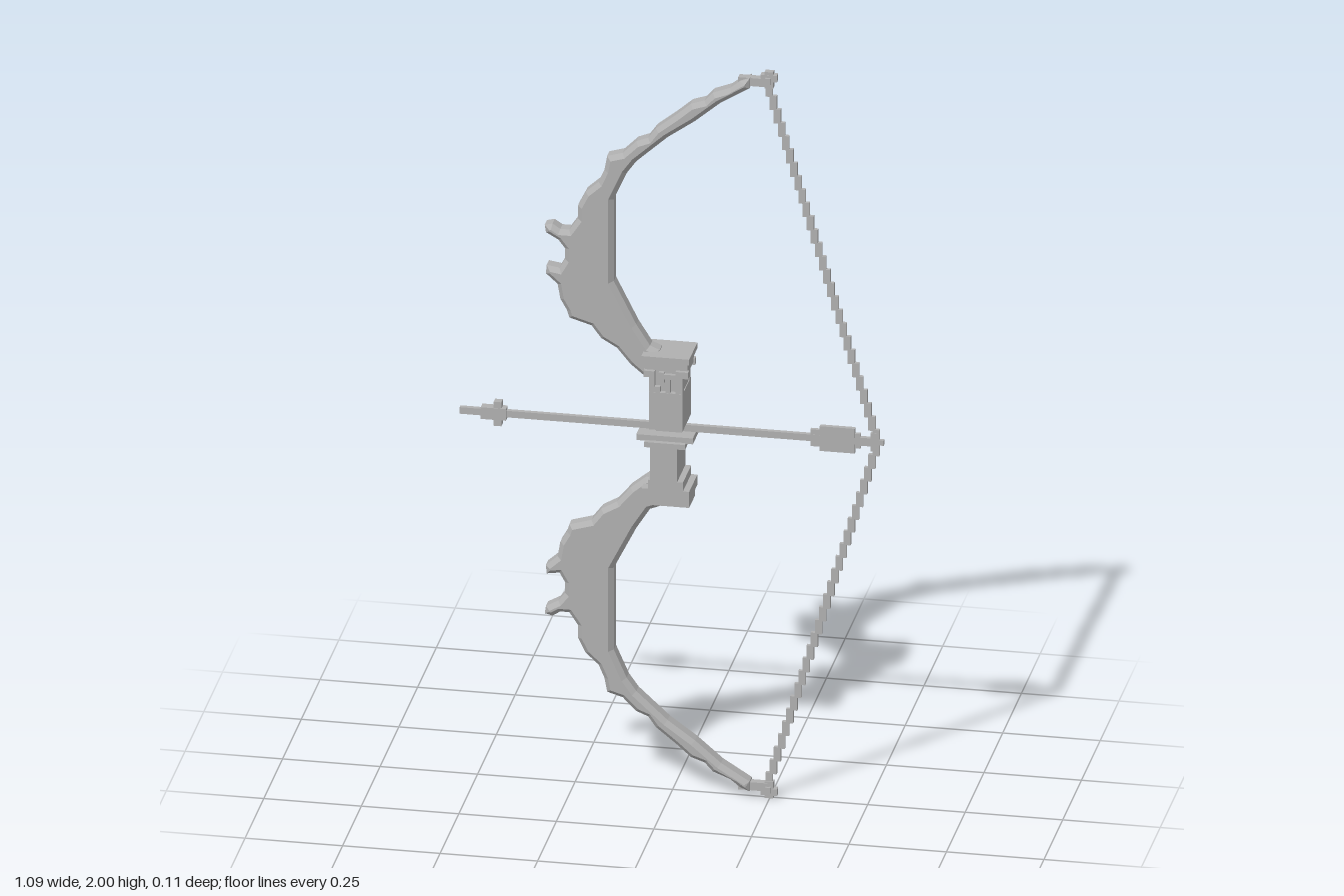
import * as THREE from 'three';

const grey = new THREE.MeshStandardMaterial({ color: 0xb0b0b0 });
grey.name = 'stone grey';

function add(parent, name, geometry) {
  const mesh = new THREE.Mesh(geometry, grey);
  mesh.name = name;
  parent.add(mesh);
  return mesh;
}

// Box given by its x and y limits and its half depth, centred on z = z0
function block(parent, name, x0, x1, y0, y1, halfZ, z0 = 0) {
  const mesh = add(parent, name, new THREE.BoxGeometry(x1 - x0, Math.abs(y1 - y0), halfZ * 2));
  mesh.position.set((x0 + x1) / 2, (y0 + y1) / 2, z0);
  return mesh;
}

// Outline of the upper limb: jagged outer edge from tip to root, then the inner curve back
const limbOutline = [
  [0.2, 1.982], [0.175, 1.972], [0.15, 1.952], [0.106, 1.935], [0.085, 1.912], [0.05, 1.9],
  [0.01, 1.865], [-0.04, 1.825], [-0.06, 1.797], [-0.09, 1.785], [-0.125, 1.75], [-0.165, 1.738],
  [-0.172, 1.7], [-0.187, 1.665], [-0.22, 1.635], [-0.24, 1.595], [-0.24, 1.56], [-0.262, 1.527],
  [-0.285, 1.527], [-0.305, 1.54], [-0.325, 1.535], [-0.322, 1.515], [-0.29, 1.497], [-0.273, 1.475],
  [-0.273, 1.445], [-0.287, 1.42], [-0.32, 1.425], [-0.322, 1.402], [-0.292, 1.375], [-0.285, 1.335],
  [-0.268, 1.305], [-0.262, 1.285], [-0.205, 1.268], [-0.18, 1.235], [-0.14, 1.212], [-0.105, 1.17],
  [-0.065, 1.137], [-0.03, 1.14], [-0.03, 1.215], [-0.055, 1.225], [-0.09, 1.28], [-0.148, 1.395],
  [-0.148, 1.62], [-0.115, 1.695], [-0.09, 1.73], [-0.01, 1.803], [0.06, 1.853], [0.127, 1.91],
  [0.2, 1.955],
];

// One limb with its tip and half of the string; side is 1 for upper, -1 for lower
function addLimb(bow, side) {
  const label = side > 0 ? 'upper' : 'lower';
  const limb = new THREE.Group();
  limb.name = label + 'Limb';
  bow.add(limb);
  const Y = (y) => 1 + side * (y - 1);

  const bevel = 0.012;
  const shape = new THREE.Shape(limbOutline.map(([x, y]) => new THREE.Vector2(x, Y(y))));
  const blade = new THREE.ExtrudeGeometry(shape, {
    depth: 0.03, bevelThickness: bevel, bevelSize: bevel, bevelOffset: -bevel, bevelSegments: 1,
  });
  blade.translate(0, 0, -0.015);
  add(limb, label + 'Blade', blade);

  // Narrow tip and string nock
  block(limb, label + 'Tip', 0.17, 0.25, Y(1.959), Y(1.981), 0.01);
  block(limb, label + 'NockBar', 0.227, 0.269, Y(1.974), Y(1.992), 0.009);
  block(limb, label + 'NockPost', 0.237, 0.259, Y(1.955), Y(2.0), 0.008);
  block(limb, label + 'NockCollar', 0.24, 0.254, Y(1.968), Y(1.985), 0.016);

  // Stepped string running to the back end of the arrow
  const steps = 27, height = 0.97 / steps;
  for (let i = 0; i < steps; i++) {
    const x = 0.248 + (0.522 - 0.248) * (i / (steps - 1));
    const top = 1.97 - i * height;
    block(limb, label + 'String', x - 0.009, x + 0.009, Y(top), Y(top - height - 0.003), 0.005);
  }
}

function addGrip(bow) {
  const grip = new THREE.Group();
  grip.name = 'grip';
  bow.add(grip);

  // Upper half: column, recessed neck and top plate
  block(grip, 'upperColumn', -0.05, 0.036, 1.012, 1.115, 0.055);
  block(grip, 'upperNeck', -0.048, 0.034, 1.1, 1.2, 0.042);
  block(grip, 'upperCap', -0.062, 0.046, 1.165, 1.197, 0.044);
  block(grip, 'topPlate', -0.07, 0.053, 1.196, 1.212, 0.055);

  // Stepped carving on both faces of the neck
  const carving = [
    [-0.05, -0.036, 1.115, 1.165], [0.018, 0.036, 1.115, 1.168], [-0.036, -0.022, 1.115, 1.13],
    [-0.008, 0.004, 1.115, 1.155], [-0.026, -0.012, 1.14, 1.17], [-0.012, 0.018, 1.152, 1.165],
    [-0.064, -0.036, 1.155, 1.172], [0.018, 0.05, 1.157, 1.175],
  ];
  for (const z of [-1, 1]) {
    for (const [x0, x1, y0, y1] of carving) block(grip, 'carving', x0, x1, y0, y1, 0.008, z * 0.046);
  }

  // Arrow rest between the halves
  block(grip, 'arrowRest', -0.085, 0.06, 0.974, 0.99, 0.042);
  block(grip, 'restCore', -0.04, 0.026, 0.985, 1.015, 0.012);

  // Lower half
  block(grip, 'lowerCollar', -0.063, 0.042, 0.962, 0.976, 0.055);
  block(grip, 'lowerColumn', -0.048, 0.022, 0.86, 0.965, 0.055);
  block(grip, 'lowerStep', -0.053, 0.037, 0.845, 0.872, 0.055);
  block(grip, 'lowerCap', -0.07, 0.053, 0.82, 0.848, 0.055);
  block(grip, 'bottomPlate', -0.068, 0.05, 0.797, 0.822, 0.04);
}

function addArrow(bow) {
  const arrow = new THREE.Group();
  arrow.name = 'arrow';
  bow.add(arrow);
  block(arrow, 'shaft', -0.545, 0.5, 0.992, 1.01, 0.006);

  // Stepped head
  block(arrow, 'headCore', -0.49, -0.425, 0.985, 1.017, 0.012);
  block(arrow, 'headBarb', -0.457, -0.437, 0.968, 1.034, 0.01);

  // Fletching and rear nock
  block(arrow, 'fletchingFront', 0.354, 0.39, 0.978, 1.024, 0.005);
  block(arrow, 'fletching', 0.378, 0.468, 0.967, 1.035, 0.006);
  block(arrow, 'fletchingTail', 0.46, 0.482, 0.981, 1.021, 0.005);
  block(arrow, 'nock', 0.475, 0.53, 0.99, 1.012, 0.006);
  block(arrow, 'nockFork', 0.508, 0.528, 0.976, 1.026, 0.006);
  block(arrow, 'nockEnd', 0.525, 0.542, 0.994, 1.008, 0.005);
}

export function createModel() {
  const bow = new THREE.Group();
  bow.name = 'bow';
  addLimb(bow, 1);
  addLimb(bow, -1);
  addGrip(bow);
  addArrow(bow);
  return bow;
}
